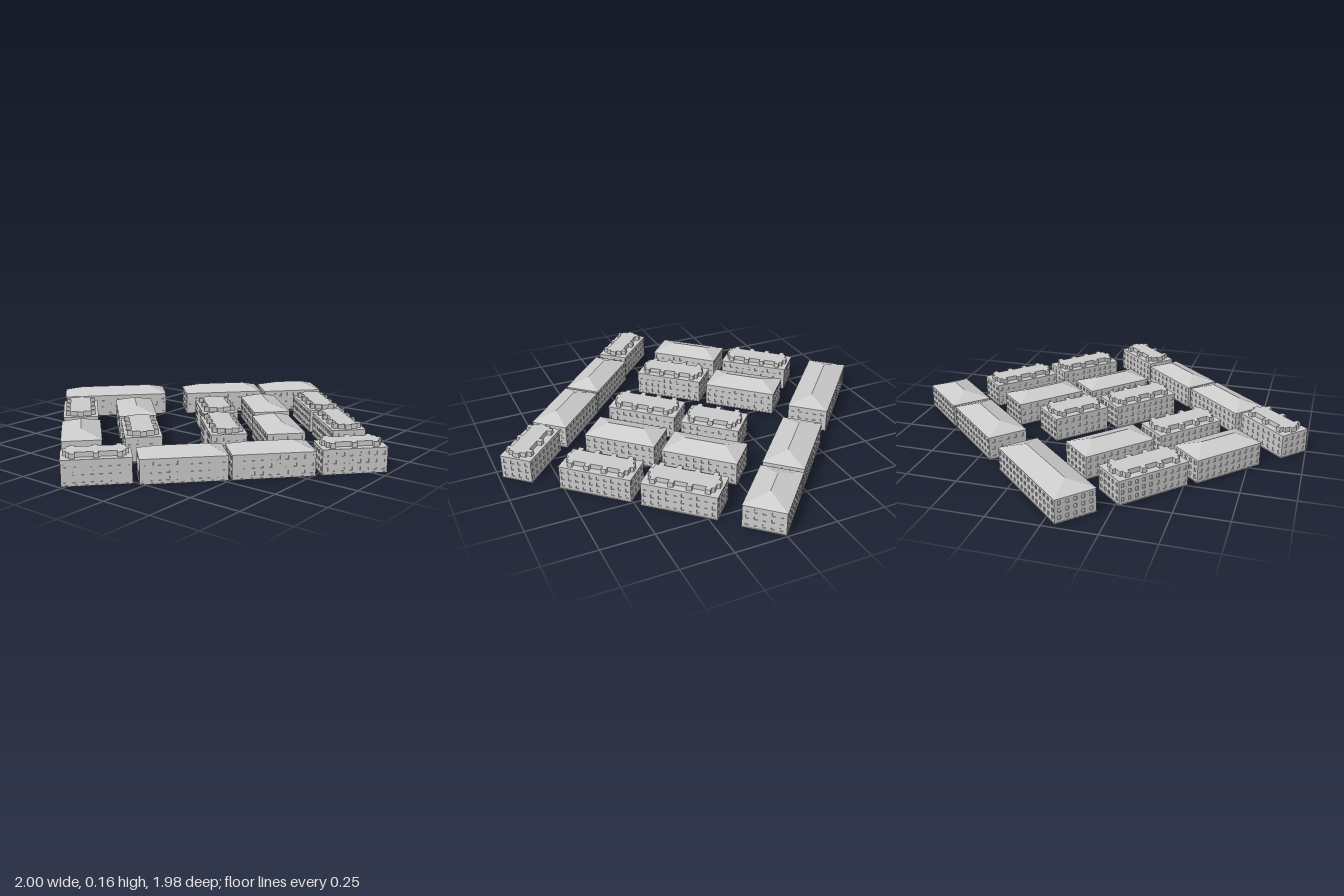
import * as THREE from 'three';
import { mergeGeometries } from 'three/addons/utils/BufferGeometryUtils.js';

const EAVE = 0.114, RECESS = 0.004, ANGLE = -0.753;
const mat = new THREE.MeshStandardMaterial({ color: 0xcccccc, flatShading: true });

// x, z, length, width; true when the long side runs along the other street
const hipped = [
  [0.075, -0.73, 0.556, 0.197], [0.521, -0.309, 0.43, 0.193], [0.813, -0.035, 0.323, 0.197],
  [-0.561, 0.297, 0.386, 0.178], [-0.27, 0.567, 0.375, 0.18],
  [-0.611, -0.285, 0.36, 0.185, true], [-0.123, -0.388, 0.367, 0.189, true],
  [0.382, 0.09, 0.365, 0.186, true], [0.087, 0.372, 0.355, 0.184, true],
];
const flat = [
  [-0.835, 0.043, 0.305, 0.155], [-0.005, 0.824, 0.3, 0.155],
  [-0.333, -0.583, 0.358, 0.172, true], [-0.4, -0.094, 0.354, 0.172, true],
  [0.162, -0.07, 0.293, 0.18, true], [-0.111, 0.182, 0.354, 0.172, true],
  [0.592, 0.29, 0.355, 0.167, true], [0.314, 0.582, 0.35, 0.162, true],
];

function rectPath(path, x0, y0, x1, y1) {
  path.moveTo(x0, y0);
  path.lineTo(x1, y0);
  path.lineTo(x1, y1);
  path.lineTo(x0, y1);
  path.closePath();
  return path;
}

function box(w, h, d, y) {
  return new THREE.BoxGeometry(w, h, d).translate(0, y + h / 2, 0);
}

function add(group, name, geometry) {
  const mesh = new THREE.Mesh(geometry, mat);
  mesh.name = name;
  group.add(mesh);
}

// One facade: a panel pierced by three rows of windows
function facade(length) {
  const wall = rectPath(new THREE.Shape(), -length / 2, 0, length / 2, EAVE);
  const cols = Math.round(length / 0.036), step = length / cols;
  for (let i = 0; i < cols; i++) {
    for (let row = 0; row < 3; row++) {
      const x = -length / 2 + (i + 0.5) * step, y = 0.016 + row * 0.034;
      wall.holes.push(rectPath(new THREE.Path(), x - 0.007, y, x + 0.007, y + 0.018));
    }
  }
  return new THREE.ExtrudeGeometry(wall, { depth: RECESS, bevelEnabled: false });
}

// Four facades around a solid core
function addWalls(group, L, W) {
  const panels = [];
  for (let i = 0; i < 4; i++) {
    const [len, dist] = i % 2 ? [W - 2 * RECESS, L / 2] : [L, W / 2];
    panels.push(facade(len).translate(0, 0, dist - RECESS).rotateY(i * Math.PI / 2));
  }
  add(group, 'windowedWalls', mergeGeometries(panels));
  add(group, 'core', box(L - 2 * RECESS, EAVE, W - 2 * RECESS, 0));
  add(group, 'plinth', box(L + 0.004, 0.005, W + 0.004, 0));
}

// Four slopes meeting in a ridge
function hipRoof(L, W) {
  const a = L / 2 + 0.002, b = W / 2 + 0.002, r = a - b * 0.92, h = 0.034;
  const geo = new THREE.BufferGeometry();
  geo.setAttribute('position', new THREE.Float32BufferAttribute([
    -a, 0, b, a, 0, b, a, 0, -b, -a, 0, -b, -r, h, 0, r, h, 0], 3));
  geo.setIndex([0, 1, 5, 0, 5, 4, 2, 3, 4, 2, 4, 5, 1, 2, 5, 3, 0, 4, 0, 3, 2, 0, 2, 1]);
  const out = geo.toNonIndexed();
  out.computeVertexNormals();
  return out.translate(0, EAVE, 0);
}

// Set-back attic whose outline steps out into narrow dormers
function attic(L, W) {
  const a = L / 2 - 0.024, b = W / 2 - 0.034, out = W / 2 - 0.012, t = 0.012;
  const n = L > 0.32 ? 4 : 3;
  const side = [];
  for (let i = 0; i < n; i++) {
    const x = (i / (n - 1) - 0.5) * (L - 0.1);
    side.push([x - t, -b], [x - t, -out], [x + t, -out], [x + t, -b]);
  }
  const end = L / 2 - 0.01;
  const half = [[-a, -b], ...side, [a, -b], [a, -0.016], [end, -0.016], [end, 0.016], [a, 0.016]];
  const points = [...half, ...half.map(([x, y]) => [-x, -y])];
  const shape = new THREE.Shape(points.map(([x, y]) => new THREE.Vector2(x, y)));
  return new THREE.ExtrudeGeometry(shape, { depth: 0.025, bevelEnabled: false })
    .rotateX(-Math.PI / 2).translate(0, EAVE + 0.002, 0);
}

function building([x, z, L, W, turned], isHipped) {
  const g = new THREE.Group();
  g.name = isHipped ? 'hippedBuilding' : 'flatBuilding';
  addWalls(g, L, W);
  if (isHipped) {
    add(g, 'hipRoof', hipRoof(L, W));
  } else {
    add(g, 'cornice', box(L + 0.004, 0.004, W + 0.004, EAVE));
    add(g, 'atticWithDormers', attic(L, W));
  }
  // The ground rises slightly towards the back
  g.position.set(x, Math.max(0, 0.005 - z * 0.009), z);
  if (z > 0.2) g.position.y = 0;
  g.rotation.y = ANGLE + (turned ? Math.PI / 2 : 0);
  return g;
}

export function createModel() {
  const model = new THREE.Group();
  model.name = 'cityBlocks';
  hipped.forEach((b) => model.add(building(b, true)));
  flat.forEach((b) => model.add(building(b, false)));
  return model;
}
